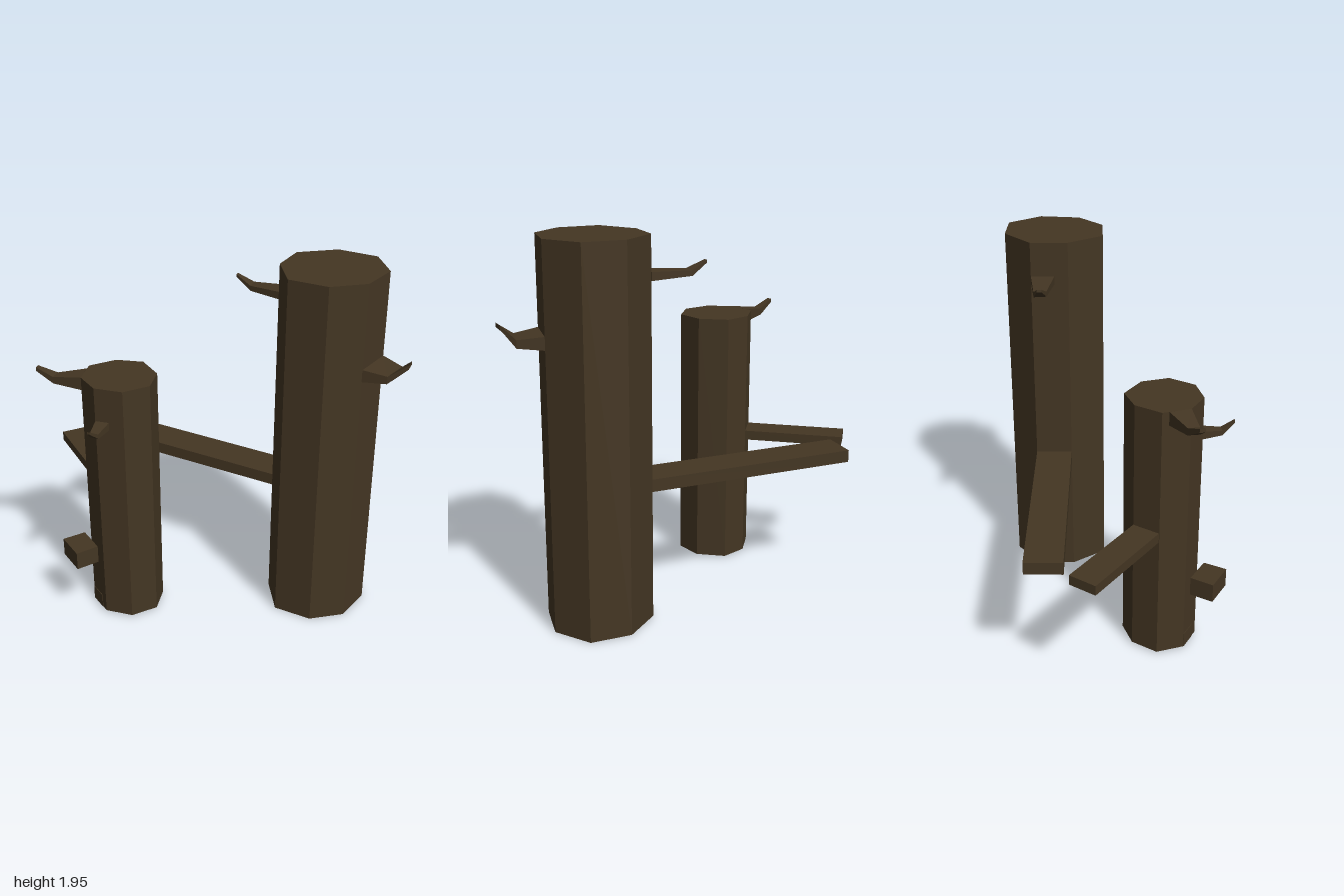
import * as THREE from 'three';

const bark = new THREE.MeshStandardMaterial({ color: 0x443623, flatShading: true });
bark.name = 'dark bark';

// Upright prism over a plan outline of [x, z] corners
function prism(name, plan, y0, y1) {
  const shape = new THREE.Shape(plan.map(([x, z]) => new THREE.Vector2(x, -z)));
  const geo = new THREE.ExtrudeGeometry(shape, { depth: y1 - y0, bevelEnabled: false });
  geo.rotateX(-Math.PI / 2).translate(0, y0, 0);
  const mesh = new THREE.Mesh(geo, bark);
  mesh.name = name;
  return mesh;
}

// Bent stub lofted through quads; each section is [xa, za, xb, zb, yLow, yHigh],
// with a on the left and b on the right when looking at the tip
function stub(name, sections) {
  const rings = sections.map(([xa, za, xb, zb, lo, hi]) =>
    [[xa, lo, za], [xb, lo, zb], [xb, hi, zb], [xa, hi, za]]);
  const pos = [];
  const quad = (a, b, c, d) => pos.push(...a, ...b, ...c, ...a, ...c, ...d);
  for (let i = 0; i + 1 < rings.length; i++) {
    for (let k = 0; k < 4; k++) {
      const n = (k + 1) % 4;
      quad(rings[i][k], rings[i][n], rings[i + 1][n], rings[i + 1][k]);
    }
  }
  quad(...rings[rings.length - 1]);
  quad(...rings[0].slice().reverse());
  const geo = new THREE.BufferGeometry();
  geo.setAttribute('position', new THREE.Float32BufferAttribute(pos, 3));
  geo.computeVertexNormals();
  const mesh = new THREE.Mesh(geo, bark);
  mesh.name = name;
  return mesh;
}

export function createModel() {
  const model = new THREE.Group();
  model.name = 'tree trunks';

  // Trunks
  model.add(prism('tallTrunk', [
    [0.52, -0.495], [0.73, -0.46], [0.833, -0.275], [0.775, -0.07],
    [0.61, 0.035], [0.402, 0.008], [0.302, -0.188], [0.332, -0.38],
  ], 0, 1.95));
  model.add(prism('shortTrunk', [
    [-0.363, 0], [-0.24, 0.105], [-0.218, 0.25], [-0.318, 0.362],
    [-0.47, 0.372], [-0.583, 0.285], [-0.607, 0.14], [-0.505, 0.027],
  ], 0.01, 1.395));

  // Straight limbs
  model.add(prism('longLimb', [
    [-0.775, -0.545], [-0.805, -0.355], [0.302, -0.188], [0.332, -0.38],
  ], 0.68, 0.745));
  model.add(prism('shortLimb', [
    [-0.895, -0.34], [-1, -0.23], [-0.605, 0.138], [-0.505, 0.027],
  ], 0.685, 0.737));

  // Sawn block beside the short trunk and the small patch at its foot
  model.add(prism('block', [
    [-0.61, 0.305], [-0.485, 0.403], [-0.56, 0.503], [-0.69, 0.403],
  ], 0.36, 0.46));
  model.add(prism('footPatch', [
    [-0.58, 0.284], [-0.5, 0.345], [-0.503, 0.35], [-0.583, 0.289],
  ], 0.01, 0.09));

  // Bent branch stubs
  model.add(stub('tallTrunkRightBranch', [
    [0.33, -0.38, 0.308, -0.26, 1.73, 1.772],
    [0.11, -0.385, 0.11, -0.32, 1.735, 1.762],
    [0.022, -0.375, 0.022, -0.352, 1.79, 1.803],
  ]));
  model.add(stub('tallTrunkLeftBranch', [
    [0.775, -0.07, 0.833, -0.275, 1.44, 1.505],
    [0.9, -0.07, 0.945, -0.21, 1.45, 1.49],
    [0.995, -0.09, 0.998, -0.15, 1.535, 1.555],
  ]));
  model.add(stub('shortTrunkRightBranch', [
    [-0.602, 0.175, -0.583, 0.285, 1.325, 1.395],
    [-0.74, 0.232, -0.74, 0.29, 1.338, 1.375],
    [-0.835, 0.265, -0.832, 0.293, 1.395, 1.415],
  ]));
  model.add(stub('shortTrunkFrontBranch', [
    [-0.47, 0.37, -0.397, 0.366, 1.17, 1.212],
    [-0.45, 0.475, -0.405, 0.475, 1.175, 1.2],
    [-0.432, 0.54, -0.417, 0.54, 1.23, 1.243],
  ]));

  return model;
}
